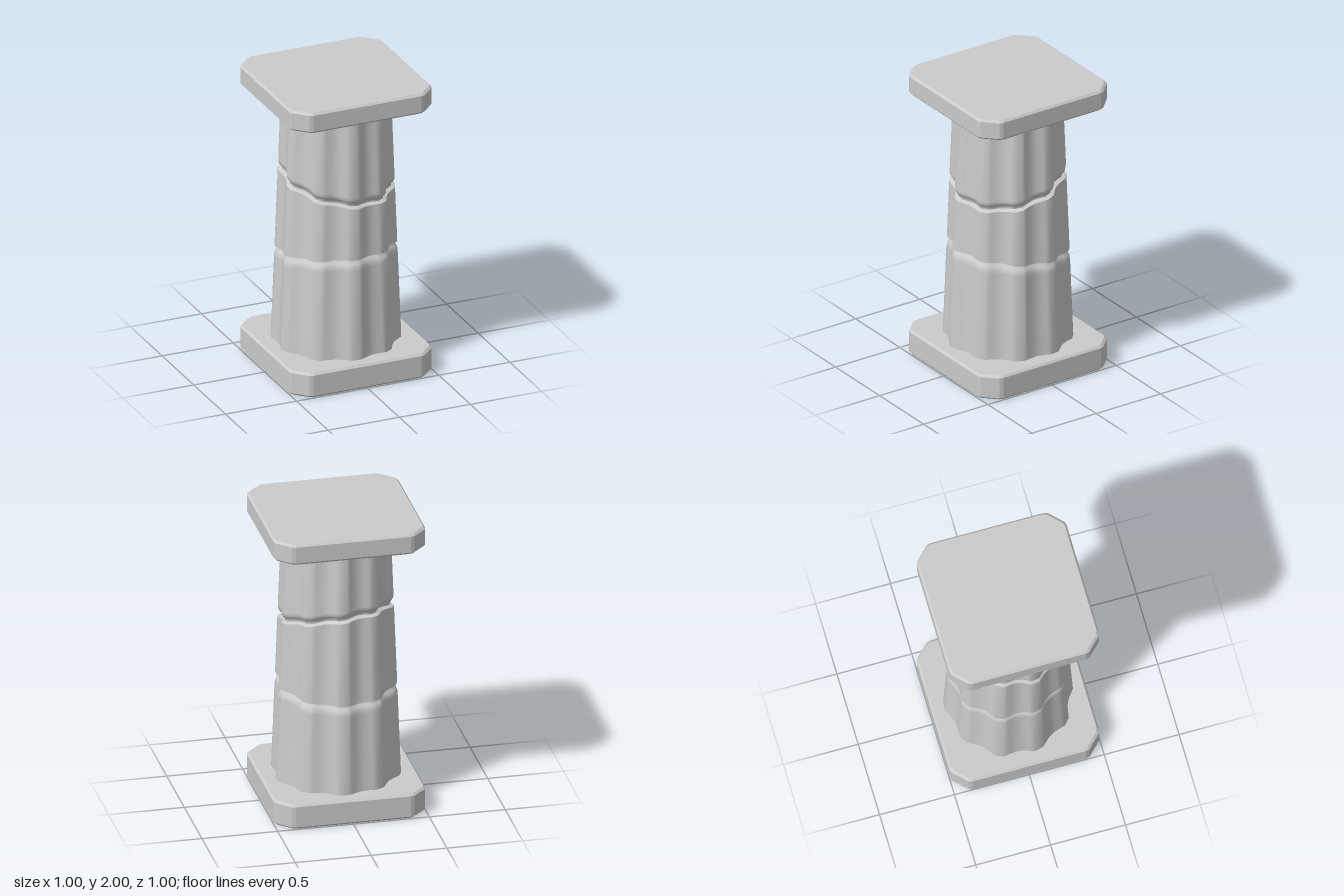
import * as THREE from 'three';

const material = new THREE.MeshStandardMaterial({ color: 0xcccccc, side: THREE.DoubleSide });

// Skin a stack of equal-length rings, listed bottom to top, counter-clockwise from above.
function loft(rings) {
  const n = rings[0].length;
  const index = [];
  for (let r = 0; r < rings.length - 1; r++) {
    for (let i = 0; i < n; i++) {
      const a = r * n + i, b = r * n + (i + 1) % n;
      index.push(a, b, b + n, a, b + n, a + n);
    }
  }
  const geometry = new THREE.BufferGeometry().setFromPoints(rings.flat());
  geometry.setIndex(index);
  geometry.computeVertexNormals();
  return geometry;
}

// Square outline with clipped, slightly softened corners.
function plateRing(y, size) {
  const corner = [[0.38, 0.5], [0.405, 0.492], [0.492, 0.405], [0.5, 0.38]];
  const points = [];
  for (let q = 0; q < 4; q++) {
    for (const [x, z] of corner) {
      points.push(new THREE.Vector3(x * size, y, z * size)
        .applyAxisAngle(new THREE.Vector3(0, 1, 0), q * Math.PI / 2));
    }
  }
  return points;
}

// Bevelled slab; the underside can be left open.
function plate(name, y0, y1, openBelow) {
  const bevel = 0.014, inset = 0.974;
  const rings = [
    plateRing(y0, inset), plateRing(y0 + bevel, 1),
    plateRing(y1 - bevel, 1), plateRing(y1, inset), plateRing(y1, 0),
  ];
  if (!openBelow) rings.unshift(plateRing(y0, 0));
  const geometry = loft(rings).toNonIndexed();
  geometry.computeVertexNormals();
  const mesh = new THREE.Mesh(geometry, material);
  mesh.name = name;
  return mesh;
}

// Angles around the shaft with the depth of the flute at each one.
const FLUTES = 10, STEPS = 8, RIDGE = 8;
const section = [];
for (let f = 0; f < FLUTES; f++) {
  const start = f * 36 - 5.5 - RIDGE / 2;
  section.push({ angle: THREE.MathUtils.degToRad(start), cut: 0 });
  for (let s = 0; s <= STEPS; s++) {
    const angle = start + RIDGE + (36 - RIDGE) * s / STEPS;
    if (s < STEPS) {
      section.push({
        angle: THREE.MathUtils.degToRad(angle),
        cut: 0.032 * Math.sin(Math.PI * s / STEPS),
      });
    }
  }
}

// One fluted ring of the tapering shaft; height may vary with the angle.
function shaftRing(height, offset = 0) {
  return section.map(({ angle, cut }) => {
    const y = height(angle);
    const radius = 0.4265 - 0.0385 * y - cut + offset;
    return new THREE.Vector3(Math.sin(angle) * radius, y, Math.cos(angle) * radius);
  });
}

// Tilted joints between the drums
const lowerJoint = (a) => 0.82 + 0.04 * Math.cos(a);
const upperJoint = (a) => 1.285 - 0.075 * Math.cos(a) - 0.035 * Math.sin(a);
const level = (y) => () => y;
const along = (joint, dy, offset) => shaftRing((a) => joint(a) + dy, offset);

function drum(name, rings) {
  const mesh = new THREE.Mesh(loft(rings), material);
  mesh.name = name;
  return mesh;
}

export function createModel() {
  const model = new THREE.Group();
  model.name = 'column';

  // Hollow base and solid capital slab
  model.add(plate('base', 0, 0.17, true), plate('capital', 1.86, 2, false));

  // Lower drum, rounding in at its top
  model.add(drum('lowerDrum', [
    shaftRing(level(0.02)), along(lowerJoint, -0.075, 0), along(lowerJoint, -0.05, -0.003),
    along(lowerJoint, -0.03, -0.012), along(lowerJoint, -0.018, -0.026),
    along(lowerJoint, -0.004, -0.028),
  ]));

  // Middle drum with crisp edges, closed by narrow ledges
  model.add(drum('middleDrum', [along(lowerJoint, 0, 0), along(upperJoint, 0, 0)]));
  model.add(drum('lowerLedge', [along(lowerJoint, -0.004, -0.028), along(lowerJoint, 0, 0)]));
  model.add(drum('upperLedge', [along(upperJoint, 0, 0), along(upperJoint, 0.012, -0.026)]));

  // Upper drum, rounding out from the joint
  model.add(drum('upperDrum', [
    along(upperJoint, 0.012, -0.026), along(upperJoint, 0.028, -0.025),
    along(upperJoint, 0.04, -0.012), along(upperJoint, 0.055, -0.003),
    along(upperJoint, 0.075, 0), shaftRing(level(1.865)),
  ]));

  return model;
}
